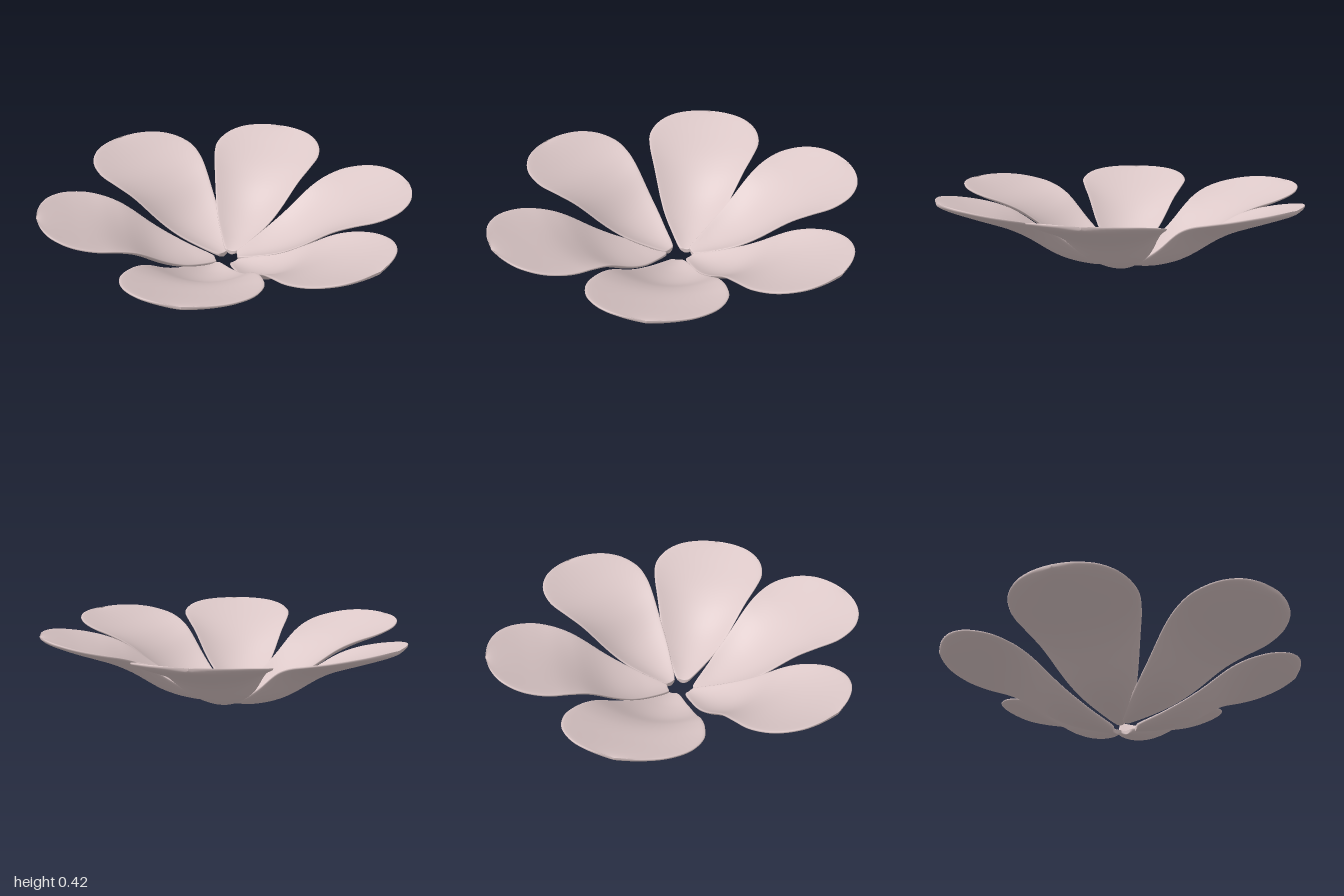
import * as THREE from 'three';

const V2 = (pts) => new THREE.SplineCurve(pts.map(([a, b]) => new THREE.Vector2(a, b)));

// outline: (distance along the petal, half width), base to tip
const outline = V2([[0, 0], [0.005, 0.035], [0.12, 0.1], [0.25, 0.165], [0.47, 0.25], [0.6, 0.295],
  [0.72, 0.315], [0.84, 0.285], [0.93, 0.21], [0.98, 0.11], [1, 0]]);
// underside height along the midline, and how far the edges curl up
const rise = [[0, 0.01], [0.17, 0.04], [0.34, 0.1], [0.52, 0.21], [0.64, 0.27], [0.82, 0.335], [1, 0.398]];
const curl = [[0, 0.01], [0.2, 0.05], [0.45, 0.09], [0.7, 0.06], [0.9, 0.03], [1, 0.01]];

// smooth interpolation through a short table
function sample(table, t) {
  let i = 0;
  while (i < table.length - 2 && t > table[i + 1][0]) i++;
  const slope = (k) => {
    const a = table[Math.max(k - 1, 0)], b = table[Math.min(k + 1, table.length - 1)];
    return (b[1] - a[1]) / (b[0] - a[0]);
  };
  const [t0, y0] = table[i], [t1, y1] = table[i + 1];
  const d = t1 - t0, s = THREE.MathUtils.clamp((t - t0) / d, 0, 1), r = 1 - s;
  return y0 * (1 + 2 * s) * r * r + slope(i) * d * s * r * r
    + y1 * s * s * (3 - 2 * s) - slope(i + 1) * d * s * s * r;
}

// closed, thin, cupped petal growing along +x, lofted from flat oval rings
function petalGeometry(length, width, drop) {
  const rings = 60, sides = 40, half = 0.014;
  const pos = [], index = [];
  for (let i = 0; i <= rings; i++) {
    const p = outline.getPoint(i / rings);
    const t = THREE.MathUtils.clamp(p.x, 0, 1), w = Math.max(p.y, 0) * width;
    const h = half * Math.sqrt(Math.max(0, 1 - Math.pow(t, 40))) * Math.min(1, w / 0.03);
    for (let j = 0; j < sides; j++) {
      const a = (j / sides) * Math.PI * 2, c = Math.cos(a), s = Math.sin(a);
      const y = sample(rise, t) + half + sample(curl, t) * c * c
        + h * Math.sign(s) * Math.pow(Math.abs(s), 0.6);
      pos.push(t * length, y - drop * (1 - t), w * c);
      if (i < rings) {
        const k = (j + 1) % sides, q = i * sides;
        index.push(q + j, q + sides + j, q + k, q + k, q + sides + j, q + sides + k);
      }
    }
  }
  const g = new THREE.BufferGeometry();
  g.setAttribute('position', new THREE.Float32BufferAttribute(pos, 3));
  g.setIndex(index);
  g.computeVertexNormals();
  return g;
}

export function createModel() {
  const flower = new THREE.Group();
  flower.name = 'flower';
  const material = new THREE.MeshStandardMaterial({ color: 0xdcc8c8 });

  // base x, base z, heading in degrees (x towards z), length, width scale, base drop
  const petals = [
    ['rightPetal', 0.05, 0, 12, 0.94, 1.01, 0],
    ['frontRightPetal', 0.01, 0.06, 66.5, 0.94, 1.04, 0],
    ['frontLeftPetal', -0.1, 0.03, 117, 0.95, 1.04, 0],
    ['leftPetal', -0.08, 0, 186, 0.92, 1.02, 0],
    ['backLeftPetal', -0.01, -0.06, 248, 0.95, 1.06, 0.01],
    ['backRightPetal', 0.03, -0.05, 309, 0.94, 1.02, 0],
  ];
  // swap side words so that left is +x
  const swap = { Right: 'Left', Left: 'Right', right: 'left', left: 'right' };
  for (const [name, x, z, heading, length, width, drop] of petals) {
    const mesh = new THREE.Mesh(petalGeometry(length, width, drop), material);
    mesh.name = name.replace(/Right|Left|right|left/, (m) => swap[m]);
    mesh.position.set(x, 0, z);
    mesh.rotation.y = -THREE.MathUtils.degToRad(heading);
    flower.add(mesh);
  }
  return flower;
}
